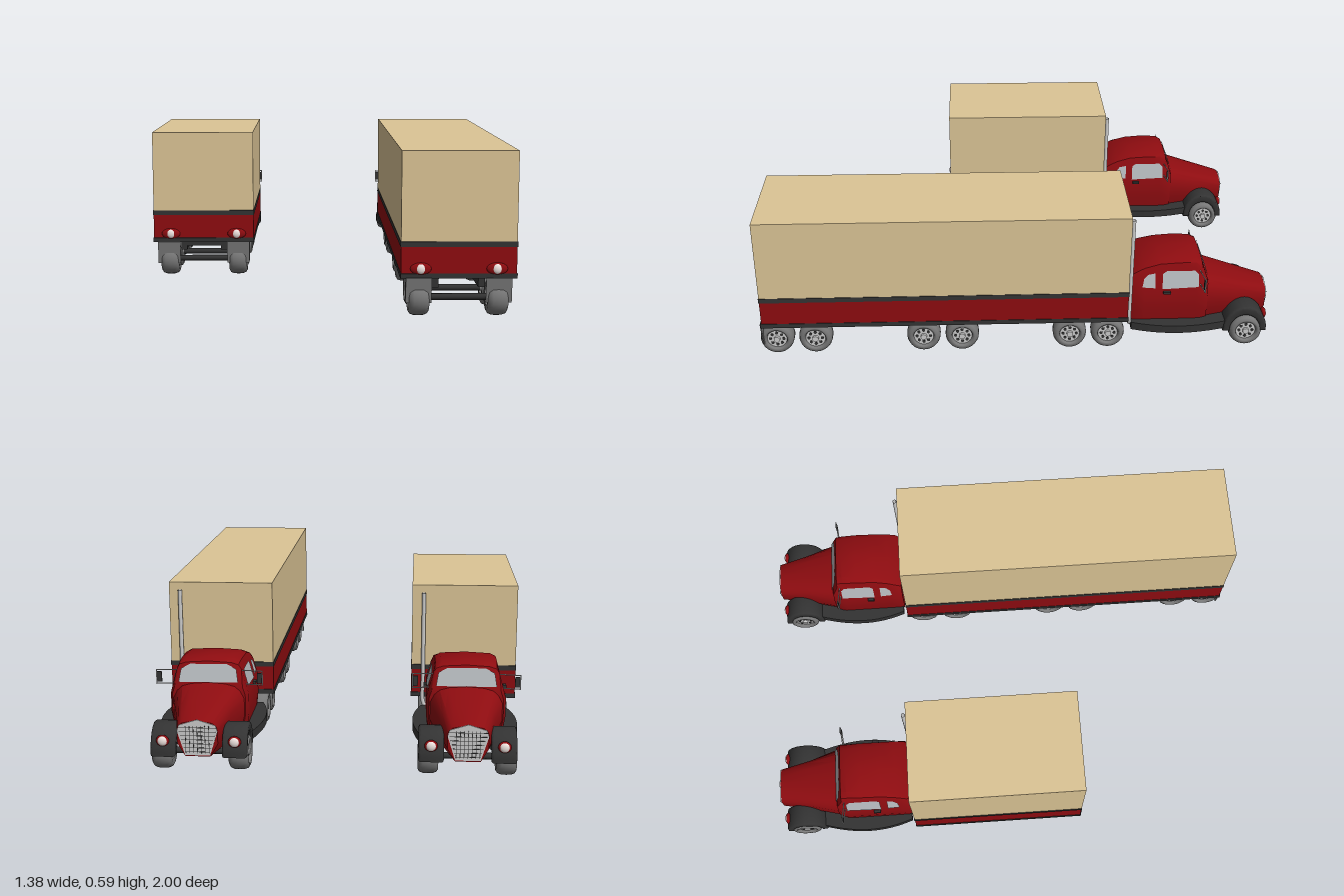
import * as THREE from 'three';
import { toCreasedNormals } from 'three/addons/utils/BufferGeometryUtils.js';

const mat = (color) => new THREE.MeshStandardMaterial({ color, side: THREE.DoubleSide });
const RED = mat(0x8e0c10), TAN = mat(0xdcc596), DARK = mat(0x333333), TYRE = mat(0x777777);
const GREY = mat(0xcccccc), GLASS = mat(0xb4b8bc), WHITE = mat(0xf0e4e0);

function add(parent, name, geometry, material, x = 0, y = 0, z = 0) {
  const mesh = new THREE.Mesh(geometry, material);
  mesh.name = name;
  mesh.position.set(x, y, z);
  parent.add(mesh);
  return mesh;
}

function box(parent, name, material, x0, x1, y0, y1, z0, z1) {
  return add(parent, name, new THREE.BoxGeometry(x1 - x0, y1 - y0, z1 - z0), material,
    (x0 + x1) / 2, (y0 + y1) / 2, (z0 + z1) / 2);
}

// Straight round bar between two points
function rod(parent, name, material, a, b, r) {
  const path = new THREE.LineCurve3(new THREE.Vector3(...a), new THREE.Vector3(...b));
  return add(parent, name, new THREE.TubeGeometry(path, 1, r, 10), material);
}

const shapeOf = (pts) => new THREE.Shape(pts.map((p) => new THREE.Vector2(...p)));

// Thin pane: a flat outline whose points are placed by a rule
function pane(parent, name, material, pts, place) {
  const g = new THREE.ShapeGeometry(shapeOf(pts));
  const p = g.attributes.position;
  for (let i = 0; i < p.count; i++) p.setXYZ(i, ...place(p.getX(i), p.getY(i)));
  g.computeVertexNormals();
  return add(parent, name, g, material);
}

// Loft through stations, ordered by rising z:
// [z, bottom y, bottom half-width, belt y, half-width, shoulder y, half-width, roof y, half-width]
function loft(stations) {
  const rings = stations.map(([z, yb, wb, ym, wm, ys, wt, yt, wr]) => {
    const right = [[wb, yb], [wm, (yb + ym) / 2], [wm, ym], [wt, ys], [(wt + wr) / 2 + 0.008, (ys + yt) / 2 + 0.004], [wr, yt]];
    const left = right.map(([x, y]) => [-x, y]).reverse();
    return [[0, yb], ...right, [0, yt + 0.005], ...left].map(([x, y]) => [x, y, z]);
  });
  const v = [], n = rings[0].length, last = rings[rings.length - 1];
  for (let i = 0; i < rings.length - 1; i++) {
    for (let k = 0; k < n; k++) {
      const j = (k + 1) % n, A = rings[i], B = rings[i + 1];
      v.push(...A[k], ...A[j], ...B[j], ...A[k], ...B[j], ...B[k]);
    }
  }
  for (let k = 1; k < n - 1; k++) {
    v.push(...last[0], ...last[k], ...last[k + 1], ...rings[0][0], ...rings[0][k + 1], ...rings[0][k]);
  }
  const g = new THREE.BufferGeometry();
  g.setAttribute('position', new THREE.Float32BufferAttribute(v, 3));
  return toCreasedNormals(g, 0.6);
}

// Wheel with its outer face towards +x
function wheel() {
  const g = new THREE.Group();
  g.name = 'wheel';
  const profile = [[0.03, -0.035], [0.05, -0.037], [0.06, -0.031], [0.065, -0.018], [0.066, 0],
    [0.065, 0.018], [0.06, 0.031], [0.05, 0.037], [0.042, 0.035], [0.038, 0.024]];
  const tyre = new THREE.LatheGeometry(profile.map((p) => new THREE.Vector2(...p)), 28).rotateZ(-Math.PI / 2);
  add(g, 'tyre', tyre, TYRE);
  const disc = (r, d) => new THREE.CylinderGeometry(r, r, d, 20).rotateZ(-Math.PI / 2);
  add(g, 'rim', disc(0.04, 0.05), GREY);
  add(g, 'hubCap', disc(0.012, 0.07), GREY);
  for (let i = 0; i < 8; i++) {
    const a = i * Math.PI / 4;
    add(g, 'rimHole', disc(0.006, 0.004), DARK, 0.025, 0.026 * Math.sin(a), 0.026 * Math.cos(a));
  }
  return g;
}

function addAxle(parent, z) {
  rod(parent, 'axle', DARK, [-0.13, 0.066, z], [0.13, 0.066, z], 0.012);
  for (const s of [-1, 1]) {
    const w = wheel();
    w.position.set(s * 0.14, 0.066, z);
    if (s < 0) w.rotation.y = Math.PI;
    parent.add(w);
  }
}

function lamp(parent, name, x, y, z, dir, width) {
  add(parent, name + 'Housing', new THREE.SphereGeometry(1, 16, 10), RED, x, y, z).scale.set(width, 0.022, 0.01);
  add(parent, name + 'Lens', new THREE.SphereGeometry(1, 16, 12), WHITE, x, y, z + dir * 0.004).scale.set(0.018, 0.018, 0.009);
}

function cab() {
  const g = new THREE.Group();
  g.name = 'cab';
  add(g, 'hood', loft([
    [-0.995, 0.075, 0.045, 0.17, 0.073, 0.185, 0.07, 0.205, 0.025],
    [-0.87, 0.08, 0.08, 0.19, 0.1, 0.215, 0.092, 0.24, 0.05],
    [-0.735, 0.085, 0.12, 0.22, 0.138, 0.25, 0.122, 0.278, 0.065]]), RED);
  add(g, 'cabin', loft([
    [-0.75, 0.085, 0.125, 0.23, 0.138, 0.262, 0.128, 0.275, 0.08],
    [-0.725, 0.085, 0.135, 0.23, 0.148, 0.325, 0.122, 0.35, 0.085],
    [-0.7, 0.085, 0.14, 0.23, 0.148, 0.328, 0.121, 0.362, 0.09],
    [-0.64, 0.085, 0.14, 0.23, 0.148, 0.328, 0.121, 0.364, 0.095],
    [-0.56, 0.085, 0.14, 0.23, 0.148, 0.325, 0.122, 0.358, 0.095],
    [-0.5, 0.085, 0.14, 0.23, 0.148, 0.315, 0.125, 0.338, 0.1],
    [-0.46, 0.085, 0.14, 0.23, 0.147, 0.295, 0.13, 0.318, 0.1],
    [-0.445, 0.09, 0.135, 0.23, 0.138, 0.28, 0.125, 0.305, 0.1]]), RED);

  // Windscreen and grille
  pane(g, 'windscreen', GLASS, [[-0.112, 0.28], [0.112, 0.28], [0.104, 0.328], [0.07, 0.345], [-0.07, 0.345], [-0.104, 0.328]],
    (x, y) => [x, y, -0.754 + (y - 0.275) * 0.325]);
  const grille = new THREE.ExtrudeGeometry(
    shapeOf([[-0.045, 0.08], [0.045, 0.08], [0.073, 0.17], [0.066, 0.192], [0, 0.213], [-0.066, 0.192], [-0.073, 0.17]]),
    { depth: 0.004, bevelEnabled: false });
  add(g, 'grille', grille, GREY, 0, 0, -0.999);
  for (let i = -3; i <= 3; i++) {
    box(g, 'grilleBar', DARK, i * 0.014 - 0.001, i * 0.014 + 0.001, 0.088, 0.19, -1, -0.997);
    const y = 0.138 + i * 0.015, w = 0.042 + (y - 0.08) * 0.27;
    box(g, 'grilleSlat', DARK, -w, w, y - 0.001, y + 0.001, -1, -0.997);
  }

  // Arched front fender profile in (z, y)
  const arch = new THREE.Shape();
  arch.absellipse(-0.9, 0.075, 0.078, 0.092, 0, Math.PI, false);
  arch.absellipse(-0.9, 0.075, 0.066, 0.072, Math.PI, 0, true);
  const fender = toCreasedNormals(new THREE.ExtrudeGeometry(arch,
    { depth: 0.075, bevelThickness: 0.008, bevelSize: 0.008, bevelSegments: 3, curveSegments: 18 }), 0.7);
  fender.rotateY(-Math.PI / 2);

  for (const s of [-1, 1]) {
    add(g, 'frontFender', fender, DARK, s > 0 ? 0.167 : -0.092);
    // Bowed running board
    const plan = new THREE.Shape();
    plan.moveTo(s * 0.1, 0.83);
    plan.lineTo(s * 0.165, 0.83);
    plan.bezierCurveTo(s * 0.198, 0.72, s * 0.22, 0.6, s * 0.165, 0.45);
    plan.lineTo(s * 0.1, 0.45);
    const board = new THREE.ExtrudeGeometry(plan, { depth: 0.032, bevelEnabled: false, curveSegments: 14 });
    add(g, 'runningBoard', board.rotateX(-Math.PI / 2), DARK, 0, 0.08, 0);

    // Side windows follow the leaning cabin wall
    const side = (z, y) => [s * (0.152 - (y - 0.23) * 0.274), y, z];
    pane(g, 'doorWindow', GLASS, [[-0.71, 0.256], [-0.568, 0.25], [-0.57, 0.31], [-0.585, 0.32], [-0.695, 0.32], [-0.71, 0.305]], side);
    pane(g, 'rearWindow', GLASS, [[-0.54, 0.254], [-0.49, 0.258], [-0.496, 0.29], [-0.512, 0.307], [-0.54, 0.312]], side);
    box(g, 'doorHandle', DARK, s * 0.152 - 0.006, s * 0.152 + 0.006, 0.232, 0.242, -0.6, -0.572);

    // Side mirror on a wire bracket
    for (const y of [0.265, 0.318]) rod(g, 'mirrorArm', GREY, [s * 0.12, y, -0.715], [s * 0.2, y, -0.725], 0.002);
    rod(g, 'mirrorPost', GREY, [s * 0.2, 0.263, -0.725], [s * 0.2, 0.32, -0.725], 0.002);
    box(g, 'mirror', DARK, s * 0.189 - 0.009, s * 0.189 + 0.009, 0.272, 0.311, -0.728, -0.722);
    lamp(g, 'headlight', s * 0.13, 0.125, -0.977, -1, 0.024);
  }

  // Exhaust stack behind the cabin
  const path = new THREE.CatmullRomCurve3([[0.1, 0.1, -0.46], [0.145, 0.1, -0.445], [0.16, 0.13, -0.441], [0.16, 0.2, -0.441],
    [0.16, 0.4, -0.441], [0.16, 0.565, -0.441]].map((p) => new THREE.Vector3(...p)));
  add(g, 'exhaustStack', new THREE.TubeGeometry(path, 40, 0.008, 12), GREY);
  addAxle(g, -0.906);
  return g;
}

function trailer(end, axles) {
  const g = new THREE.Group();
  g.name = 'trailer';
  const front = -0.43;
  box(g, 'cargoBox', TAN, -0.205, 0.205, 0.273, 0.595, front, end);
  box(g, 'stripe', DARK, -0.207, 0.207, 0.255, 0.274, front - 0.002, end + 0.002);
  box(g, 'lowerBody', RED, -0.205, 0.205, 0.158, 0.256, front, end);
  box(g, 'floor', DARK, -0.207, 0.207, 0.142, 0.16, front - 0.002, end + 0.004);
  for (const s of [-1, 1]) {
    box(g, 'chassisRail', DARK, s * 0.082 - 0.012, s * 0.082 + 0.012, 0.108, 0.145, -0.5, end - 0.01);
    lamp(g, 'tailLight', s * 0.135, 0.177, end, 1, 0.038);
    const flap = box(g, 'mudFlap', TYRE, s * 0.142 - 0.046, s * 0.142 + 0.046, 0.055, 0.145, end + 0.003, end + 0.007);
    flap.rotation.x = 0.08;
  }
  for (let z = front + 0.03; z < end; z += 0.16) box(g, 'crossMember', DARK, -0.08, 0.08, 0.125, 0.145, z, z + 0.015);
  axles.forEach((z) => addAxle(g, z));
  return g;
}

export function createModel() {
  const model = new THREE.Group();
  model.name = 'trucks';
  const specs = [
    ['longTruck', 0.481, 0.985, [0.938, 0.788, 0.365, 0.214, -0.209, -0.359]],
    ['shortTruck', -0.481, 0.265, [0.214, 0.064, -0.209, -0.359]]];
  for (const [name, x, end, axles] of specs) {
    const truck = new THREE.Group();
    truck.name = name;
    truck.position.x = x;
    truck.add(cab(), trailer(end, axles));
    model.add(truck);
  }
  return model;
}
